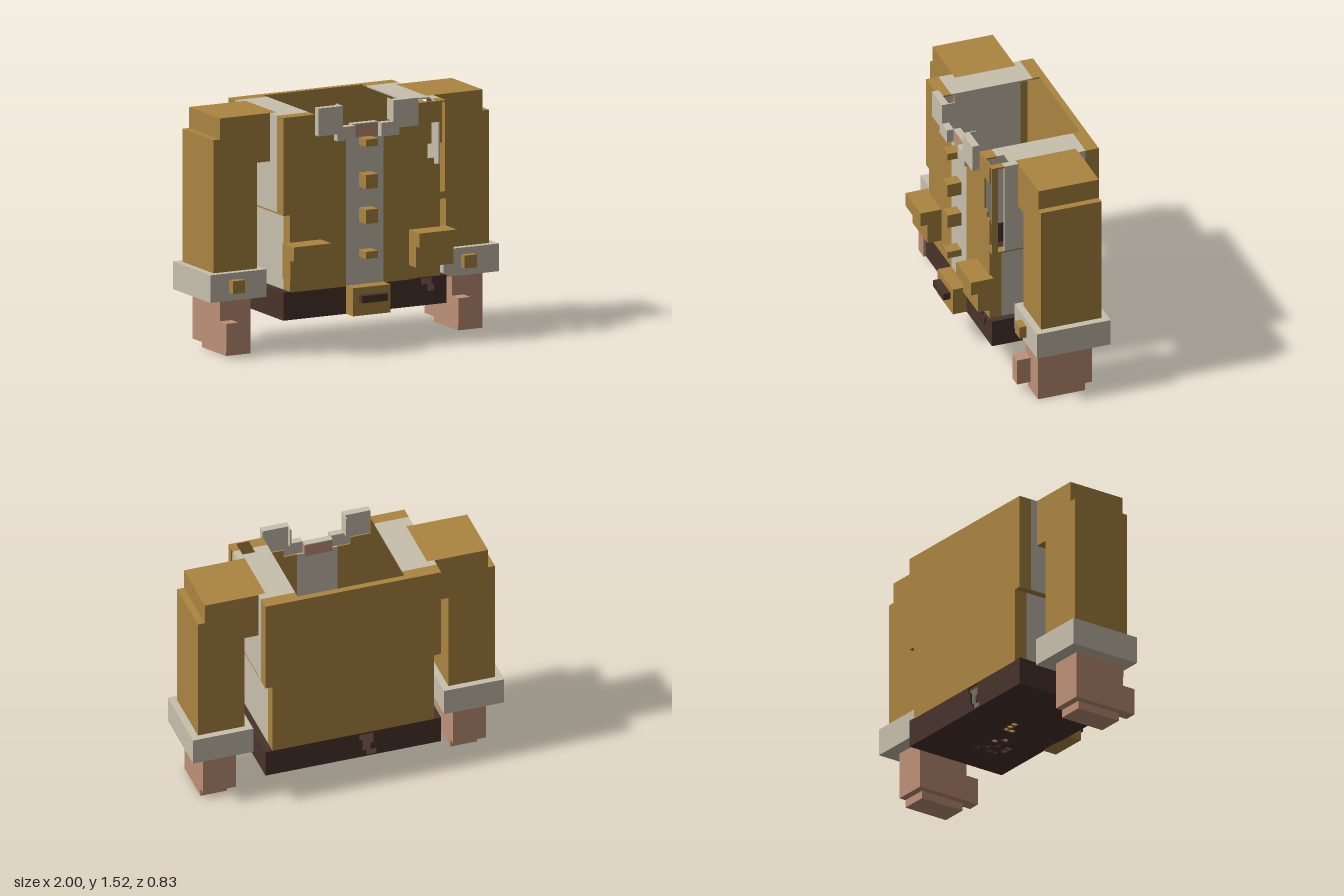
import * as THREE from 'three';

export function createModel() {
  const model = new THREE.Group();
  model.name = 'jacket';
  const mat = (name, color) => {
    const m = new THREE.MeshStandardMaterial({ color });
    m.name = name;
    return m;
  };
  const ochre = mat('ochre cloth', 0xab8540);
  const cream = mat('cream trim', 0xc8c0ae);
  const brown = mat('dark leather', 0x48332b);
  const skin = mat('skin', 0xbf9178);

  const add = (name, geo, m) => {
    const mesh = new THREE.Mesh(geo, m);
    mesh.name = name;
    model.add(mesh);
    return mesh;
  };
  // Box from its limits; open lists faces left out (0 +x, 1 -x, 2 +y, 3 -y, 4 +z, 5 -z)
  const box = (name, m, xa, xb, y0, y1, z0, z1, open = []) => {
    const x0 = Math.min(xa, xb), x1 = Math.max(xa, xb);
    const g = new THREE.BoxGeometry(x1 - x0, y1 - y0, z1 - z0);
    g.translate((x0 + x1) / 2, (y0 + y1) / 2, (z0 + z1) / 2);
    if (open.length) {
      g.setIndex(Array.from(g.index.array).filter((v, i) => !open.includes(Math.floor(i / 6))));
      g.clearGroups();
    }
    return add(name, g, m);
  };
  const toShape = (pts, Type = THREE.Shape) => new Type(pts.map(p => new THREE.Vector2(p[0], p[1])));
  // Upright panel between z0 and z1
  const panel = (name, m, pts, z0, z1, hole) => {
    const s = toShape(pts);
    if (hole) s.holes.push(toShape(hole, THREE.Path));
    const g = new THREE.ExtrudeGeometry(s, { depth: z1 - z0, bevelEnabled: false });
    return add(name, g.translate(0, 0, z0), m);
  };

  // Front panels; the left one is torn at the shoulder
  panel('frontPanelRight', ochre, [[-.13, .39], [-.13, 1.31], [-.215, 1.31], [-.215, 1.36], [-.345, 1.36],
    [-.345, 1.48], [-.565, 1.48], [-.565, .875], [-.52, .875], [-.52, .39]], .27, .28);
  panel('frontPanelLeft', ochre, [[.13, .39], [.52, .39], [.52, .875], [.565, .875], [.565, .915], [.52, .915],
    [.52, 1.09], [.48, 1.09], [.48, 1.13], [.435, 1.13], [.435, 1.35], [.52, 1.35], [.52, 1.48],
    [.345, 1.48], [.345, 1.36], [.215, 1.36], [.215, 1.31], [.13, 1.31]], .27, .28);
  box('placket', cream, -.13, .13, .39, 1.31, .27, .28);

  // Back panel, wider above than below
  panel('backPanel', ochre, [[-.52, .39], [.52, .39], [.52, .875], [.565, .875], [.565, 1.48],
    [-.565, 1.48], [-.565, .875], [-.52, .875]], -.415, -.375);

  // Sides and shoulders
  for (const s of [1, -1]) {
    const X = (name, m, a, b, ...r) => box(name, m, s * a, s * b, ...r);
    X('sideLower', cream, .51, .52, .39, .875, -.33, .2);
    X('sideLowerFront', ochre, .51, .52, .39, .875, .2, .28);
    X('sideLowerBack', ochre, .51, .52, .39, .875, -.415, -.33);
    X('sideLedge', ochre, .51, .565, .87, .88, -.415, .28);
    X('sideUpperRear', cream, .555, .565, .875, 1.475, -.33, -.28);
    X('sideUpperFore', cream, .555, .565, .875, 1.475, .11, .2);
    X('sideUnderArm', cream, .555, .565, .875, s > 0 ? 1.18 : 1.475, -.28, .11);
    X('sideUpperBack', ochre, .555, .565, .875, 1.48, -.415, -.33);
    if (s > 0) X('sideTornFront', ochre, .555, .565, .875, 1.48, .24, .28);
    else X('sideUpperFront', ochre, .555, .565, .875, 1.48, .2, .28);

    X('shoulderRear', cream, .345, .565, 1.47, 1.48, -.33, -.28);
    X('shoulderMiddle', cream, .345, .52, 1.47, 1.48, -.28, .11);
    X('shoulderSeamBack', ochre, .345, .565, 1.47, 1.48, -.38, -.33);
    // The left shoulder has a gap near the front
    const spans = s > 0 ? [[.345, .435], [.52, .565]] : [[.345, .565]];
    X('shoulderFore', cream, .345, .565, 1.47, 1.48, .11, .15);
    for (const [a, b] of spans) {
      X('shoulderEdge', cream, a, b, 1.47, 1.48, .15, .2);
      X('shoulderSeamFront', ochre, a, b, 1.47, 1.48, .2, .28);
    }

    // Sleeve, open towards the body
    const inner = s > 0 ? 1 : 0;
    X('sleeveTop', ochre, .52, .91, 1.18, 1.48, -.285, .108, [inner]);
    X('sleeve', ochre, .655, .955, .52, 1.18, -.285, .108, [2]);
    X('sleeveOuter', ochre, .91, .955, 1.18, 1.35, -.285, .108, [inner, 3]);
    X('cuff', cream, .613, 1, .35, .522, -.327, .152);

    // Pocket with flap
    X('pocket', ochre, .305, .565, .48, .61, .27, .37);
    X('pocketFlap', ochre, .305, .565, .61, .7, .27, .415);
  }

  // Hands and cuff buttons, the same on both sides
  for (const d of [0, 1.607]) {
    box('hand', skin, d - .912, d - .7, .05, .36, -.24, .11);
    box('handBottom', skin, d - .87, d - .7, 0, .05, -.195, .11);
    box('thumb', skin, d - .912, d - .83, .05, .22, .11, .197);
    box('cuffButton', ochre, d - .87, d - .785, .4, .48, .15, .197);
  }

  // Belt around the hem, worn through at front and back
  panel('beltFront', brown, [[-.565, .22], [.565, .22], [.565, .395], [-.565, .395]], .27, .28,
    [[.39, .39], [.39, .35], [.435, .35], [.435, .305], [.478, .305], [.478, .35], [.46, .35], [.46, .39]]);
  panel('beltBack', brown, [[-.565, .22], [.565, .22], [.565, .395], [-.565, .395]], -.415, -.405,
    [[-.13, .385], [-.13, .31], [-.11, .31], [-.11, .265], [-.15, .265], [-.15, .225], [-.085, .225],
      [-.085, .265], [-.06, .265], [-.06, .345], [-.04, .345], [-.04, .385]]);
  for (const s of [1, -1]) {
    box('beltSide', brown, s * .555, s * .565, .22, .395, -.415, .28);
    box('beltLedge', brown, s * .51, s * .565, .385, .395, -.415, .28);
  }

  // Base with small square holes: [row, columns]
  const u = .0437, e = .0008;
  const base = toShape([[-.565, -.28], [.565, -.28], [.565, .415], [-.565, .415]]);
  const rows = [[-2.5, [-2, -1, 0, 7]], [-1.5, [0, 4, 6]], [-.5, [3, 5, 7]], [.5, [7]], [1.5, [5, 6]]];
  for (const [r, cols] of rows) for (const c of cols) {
    const x0 = c * u + e, x1 = (c + 1) * u - e, y0 = -(r + 1) * u + e, y1 = -r * u - e;
    base.holes.push(toShape([[x0, y0], [x0, y1], [x1, y1], [x1, y0]], THREE.Path));
  }
  const baseGeo = new THREE.ExtrudeGeometry(base, { depth: .008, bevelEnabled: false });
  add('base', baseGeo.rotateX(-Math.PI / 2).translate(0, .22, 0), brown);

  // Buckle
  box('buckle', ochre, -.13, .13, .22, .395, .27, .37);
  box('bucklePin', brown, -.088, .088, .305, .35, .37, .415);

  // Front buttons
  for (const [y0, y1] of [[1.265, 1.31], [1.003, 1.09], .785 && [.785, .873], [.568, .612]])
    box('button', ochre, -.042, .042, y0, y1, .28, .37);

  // Collar wings and the neck piece between them
  for (const s of [1, -1]) {
    const pts = [[.09, 1.308], [.215, 1.308], [.215, 1.352], [.347, 1.352], [.347, 1.525], [.175, 1.525],
      [.175, 1.393], [.09, 1.393]].map(([x, y]) => [s * x, y]);
    panel('collar', cream, pts, .28, .325);
    box('collarInner', cream, s * .175, s * .183, 1.393, 1.525, .24, .28);
  }
  box('neck', skin, -.09, .09, 1.308, 1.39, .24, .282);
  box('neckTrim', cream, -.09, .09, 1.389, 1.395, .237, .282);

  // Centre on z
  model.position.z = 0;
  return model;
}
